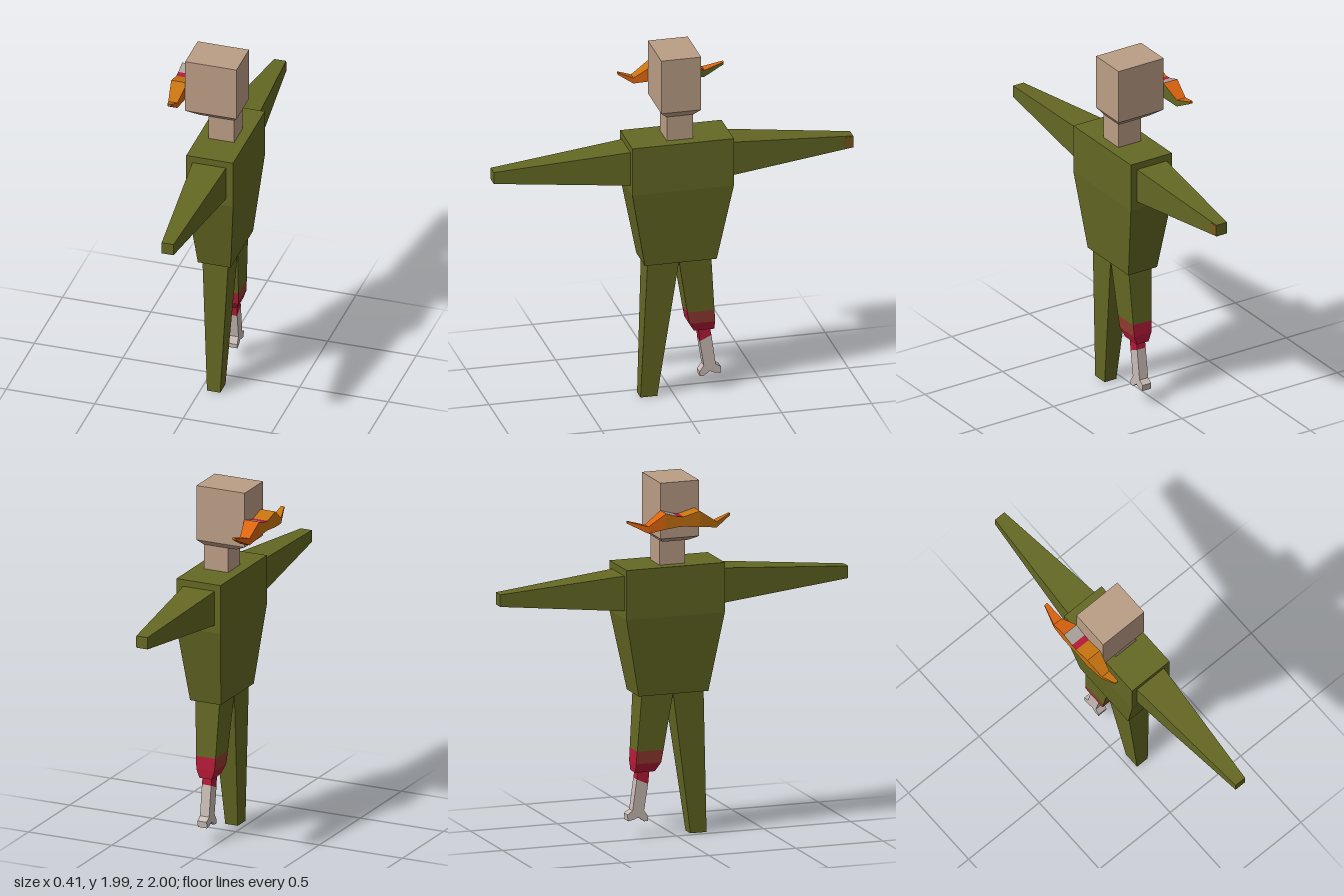
import * as THREE from 'three';

const mat = (name, color, side = THREE.FrontSide) => {
  const m = new THREE.MeshStandardMaterial({ color, side });
  m.name = name;
  return m;
};

// Rectangular cross-sections [t, x0, x1, b0, b1] stacked along y (b = z) or z (b = y).
// paint(segment, side) gives a material index; sides: 0 = b0, 1 = +x, 2 = b1, 3 = -x, 4 = caps.
function loft(name, axis, sections, materials, paint = () => 0) {
  const rings = sections.map(([t, x0, x1, b0, b1]) =>
    [[x0, b0], [x1, b0], [x1, b1], [x0, b1]].map(([x, b]) => (axis === 'y' ? [x, t, b] : [x, b, t])));
  const pos = [];
  const geo = new THREE.BufferGeometry();
  const quad = (q, m) => {
    if (axis === 'y') q.reverse();
    geo.addGroup(pos.length / 3, 6, m);
    for (const i of [0, 1, 2, 0, 2, 3]) pos.push(...q[i]);
  };
  for (let s = 0; s < rings.length - 1; s++) {
    const lo = rings[s], hi = rings[s + 1];
    for (let i = 0; i < 4; i++) {
      const j = (i + 1) % 4;
      quad([lo[i], lo[j], hi[j], hi[i]], paint(s, i));
    }
  }
  const last = rings.length - 1;
  quad([...rings[0]].reverse(), paint(0, 4));
  quad([...rings[last]], paint(last - 1, 4));
  geo.setAttribute('position', new THREE.Float32BufferAttribute(pos, 3));
  geo.computeVertexNormals();
  const mesh = new THREE.Mesh(geo, materials);
  mesh.name = name;
  return mesh;
}

// Outline of [z, y] points extruded along x from x0 to x1.
function sideExtrude(name, points, x0, x1, material) {
  const shape = new THREE.Shape(points.map(([z, y]) => new THREE.Vector2(-z, y)));
  const geo = new THREE.ExtrudeGeometry(shape, { depth: x1 - x0, bevelEnabled: false });
  geo.rotateY(Math.PI / 2);
  geo.translate(x0, 0, 0);
  const mesh = new THREE.Mesh(geo, material);
  mesh.name = name;
  return mesh;
}

export function createModel() {
  const group = new THREE.Group();
  group.name = 'figure';

  const olive = mat('olive cloth', 0x646823);
  const skin = mat('skin', 0xbc9e86);
  const red = mat('blood red', 0xb41a38);
  const stain = mat('stained cloth', 0x933a2f);
  const bone = mat('bone', 0xcabcb6);
  const orange = mat('orange hair', 0xdc640f);
  const amber = mat('amber hair', 0xc87410);
  const grey = mat('grey hair', 0xaaa39c);
  const brown = mat('brown cuff', 0x7a5a1c, THREE.DoubleSide);

  // Torso
  group.add(loft('torso', 'y', [
    [0.793, -0.02, 0.165, -0.225, 0.175],
    [1.23, -0.06, 0.205, -0.31, 0.255],
    [1.505, -0.06, 0.205, -0.31, 0.255],
  ], [olive]));

  // Neck, chin and head
  group.add(loft('neck', 'y', [
    [1.505, 0, 0.145, -0.097, 0.048],
    [1.645, 0, 0.145, -0.097, 0.048],
  ], [skin]));
  group.add(loft('head', 'y', [
    [1.645, -0.05, 0.145, -0.1, 0.05],
    [1.678, -0.12, 0.17, -0.137, 0.085],
    [1.987, -0.12, 0.17, -0.137, 0.085],
  ], [skin]));

  // Tapered arms
  const shoulder = [-0.025, 0.165, 1.273, 1.467];
  const wrist = [0.038, 0.105, 1.338, 1.405];
  group.add(loft('frontArm', 'z', [[0.255, ...shoulder], [1, ...wrist]], [olive]));
  group.add(loft('backArm', 'z', [[-1, ...wrist], [-0.31, ...shoulder]], [olive]));

  // Brown patch on the end of one sleeve
  group.add(loft('cuffPatch', 'z', [
    [-0.999, 0.1, 0.107, 1.342, 1.4],
    [-0.945, 0.1, 0.111, 1.342, 1.4],
  ], [brown]));

  // Whole leg
  group.add(loft('wholeLeg', 'y', [
    [0, 0.035, 0.11, 0.092, 0.185],
    [0.793, 0, 0.145, -0.02, 0.155],
  ], [olive]));

  // Torn leg, stained towards the stump
  group.add(loft('tornLeg', 'y', [
    [0.36, 0.035, 0.11, -0.225, -0.112],
    [0.41, 0.018, 0.127, -0.226, -0.082],
    [0.48, 0.014, 0.131, -0.221, -0.07],
    [0.793, 0, 0.145, -0.2, -0.02],
  ], [red, stain, olive], (s, side) => (s === 1 && side % 2 === 0 ? 0 : s)));

  // Bone with a knobbed end, bloody at the top
  group.add(sideExtrude('bloodyBone', [
    [-0.139, 0.37], [-0.147, 0.29], [-0.212, 0.32], [-0.203, 0.37],
  ], 0.045, 0.1, red));
  group.add(sideExtrude('shinBone', [
    [-0.147, 0.29], [-0.17, 0.145], [-0.146, 0.11], [-0.148, 0.085], [-0.17, 0.085],
    [-0.203, 0.11], [-0.225, 0.1], [-0.262, 0.092], [-0.266, 0.128], [-0.236, 0.148],
    [-0.212, 0.32],
  ], 0.045, 0.1, bone));

  // Curled moustache, lighter at its middle
  const M = { orange: 0, amber: 1, grey: 2, red: 3, olive: 4 };
  group.add(loft('moustache', 'z', [
    [-0.345, -0.17, -0.15, 1.79, 1.803],
    [-0.235, -0.197, -0.14, 1.732, 1.77],
    [-0.137, -0.208, -0.118, 1.75, 1.837],
    [-0.07, -0.208, -0.118, 1.758, 1.816],
    [-0.035, -0.208, -0.118, 1.758, 1.812],
    [0.057, -0.208, -0.118, 1.748, 1.837],
    [0.16, -0.192, -0.14, 1.735, 1.767],
    [0.243, -0.17, -0.15, 1.79, 1.803],
  ], [orange, amber, grey, red, olive], (s, side) => {
    if (side === 1) return s < 2 ? M.olive : M.orange;
    if (side === 2 && s === 2) return M.grey;
    if (side === 2 && s === 3) return M.red;
    return s < 2 ? M.orange : M.amber;
  }));

  return group;
}
